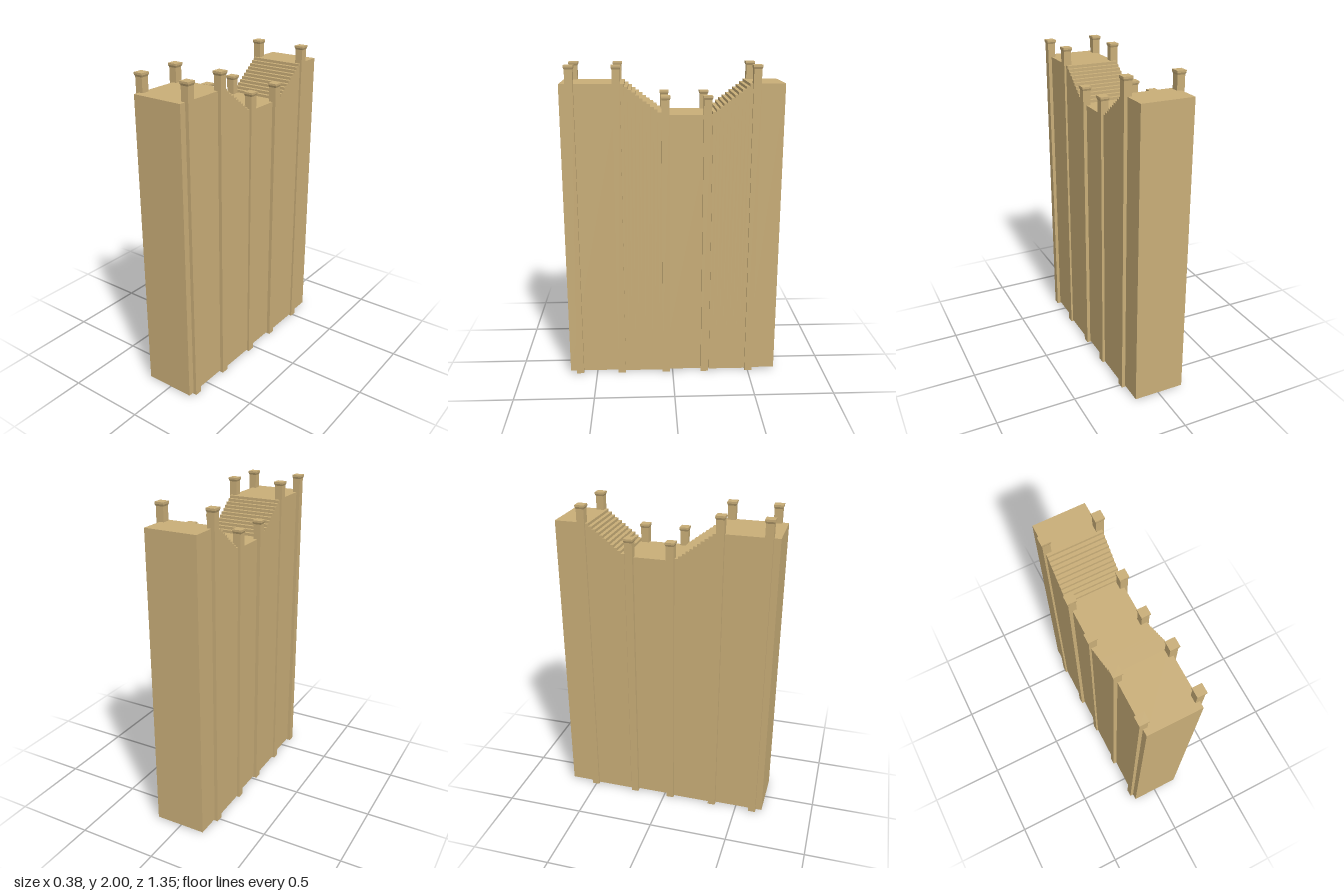
import * as THREE from 'three';

const sandstone = new THREE.MeshStandardMaterial({ color: 0xc9ae78 });
sandstone.name = 'sandstone';
sandstone.side = THREE.DoubleSide;

const BASE = 0.01, HIGH = 1.89, LOW = 1.705;
const NARROW = 0.163, WIDE = 0.172, STEPS = 11;

// Flat-shaded mesh from a list of four-cornered faces
function quadMesh(name, quads) {
  const pos = [];
  for (const [a, b, c, d] of quads) pos.push(...a, ...b, ...c, ...a, ...c, ...d);
  const g = new THREE.BufferGeometry();
  g.setAttribute('position', new THREE.Float32BufferAttribute(pos, 3));
  g.computeVertexNormals();
  const m = new THREE.Mesh(g, sandstone);
  m.name = name;
  return m;
}

// Hollow, bottomless piece of wall: two sides and a top, from z0 to z1
function shell(w, y, z0, z1) {
  return [
    [[w, BASE, z1], [w, BASE, z0], [w, y, z0], [w, y, z1]],
    [[-w, BASE, z0], [-w, BASE, z1], [-w, y, z1], [-w, y, z0]],
    [[-w, y, z1], [w, y, z1], [w, y, z0], [-w, y, z0]],
  ];
}

// Upright face across x0..x1 at z, facing +z or -z
function upright(x0, x1, y0, y1, z, dir) {
  const q = [[x0, y0, z], [x1, y0, z], [x1, y1, z], [x0, y1, z]];
  return dir > 0 ? q : q.reverse();
}

// Slightly wider stair block climbing from zLow to zHigh
function stairs(name, zLow, zHigh) {
  const quads = [];
  const dir = Math.sign(zHigh - zLow);
  const run = (zHigh - zLow) / STEPS, rise = (HIGH - LOW) / STEPS;
  for (let i = 0; i < STEPS; i++) {
    const a = zLow + run * i, b = a + run, y = LOW + rise * (i + 1);
    quads.push(...shell(WIDE, y, Math.min(a, b), Math.max(a, b)));
    quads.push(upright(-WIDE, WIDE, y - rise, y, a, -dir));
  }
  // narrow returns where the block stands proud of the wall
  for (const [z, y, d] of [[zLow, LOW, -dir], [zHigh, HIGH, dir]]) {
    quads.push(upright(NARROW, WIDE, BASE, y, z, d), upright(-WIDE, -NARROW, BASE, y, z, d));
  }
  return quadMesh(name, quads);
}

// Square pier with a flared neck and flat cap
function pier(x, z, top) {
  const g = new THREE.Group();
  g.name = 'pier';
  const add = (name, geo, y) => {
    const m = new THREE.Mesh(geo, sandstone);
    m.name = name;
    m.position.y = y;
    g.add(m);
  };
  const h = top - 0.024;
  add('pierShaft', new THREE.BoxGeometry(0.048, h, 0.048), h / 2);
  const neck = new THREE.CylinderGeometry(0.029 * Math.SQRT2, 0.024 * Math.SQRT2, 0.012, 4, 1, true)
    .rotateY(Math.PI / 4).toNonIndexed();
  neck.computeVertexNormals();
  add('pierNeck', neck, top - 0.018);
  add('pierCap', new THREE.BoxGeometry(0.058, 0.012, 0.058), top - 0.006);
  g.position.set(x, 0, z);
  return g;
}

export function createModel() {
  const model = new THREE.Group();
  model.name = 'steppedWall';

  // Three level stretches of wall
  model.add(quadMesh('frontWall', [
    ...shell(NARROW, HIGH, 0.312, 0.677), upright(-NARROW, NARROW, BASE, HIGH, 0.677, 1)]));
  model.add(quadMesh('middleWall', shell(NARROW, LOW, -0.242, 0.068)));
  model.add(quadMesh('backWall', [
    ...shell(NARROW, HIGH, -0.677, -0.484), upright(-NARROW, NARROW, BASE, HIGH, -0.677, -1)]));

  // Stairs linking the low walk to the high ones
  model.add(stairs('frontStairs', 0.068, 0.312));
  model.add(stairs('backStairs', -0.242, -0.484));

  // Piers in pairs along both sides
  for (const [z, top] of [[0.613, 2], [0.336, 2], [0.043, 1.82], [-0.211, 1.82], [-0.504, 2]]) {
    for (const side of [-1, 1]) model.add(pier(side * 0.161, z, top));
  }
  return model;
}
